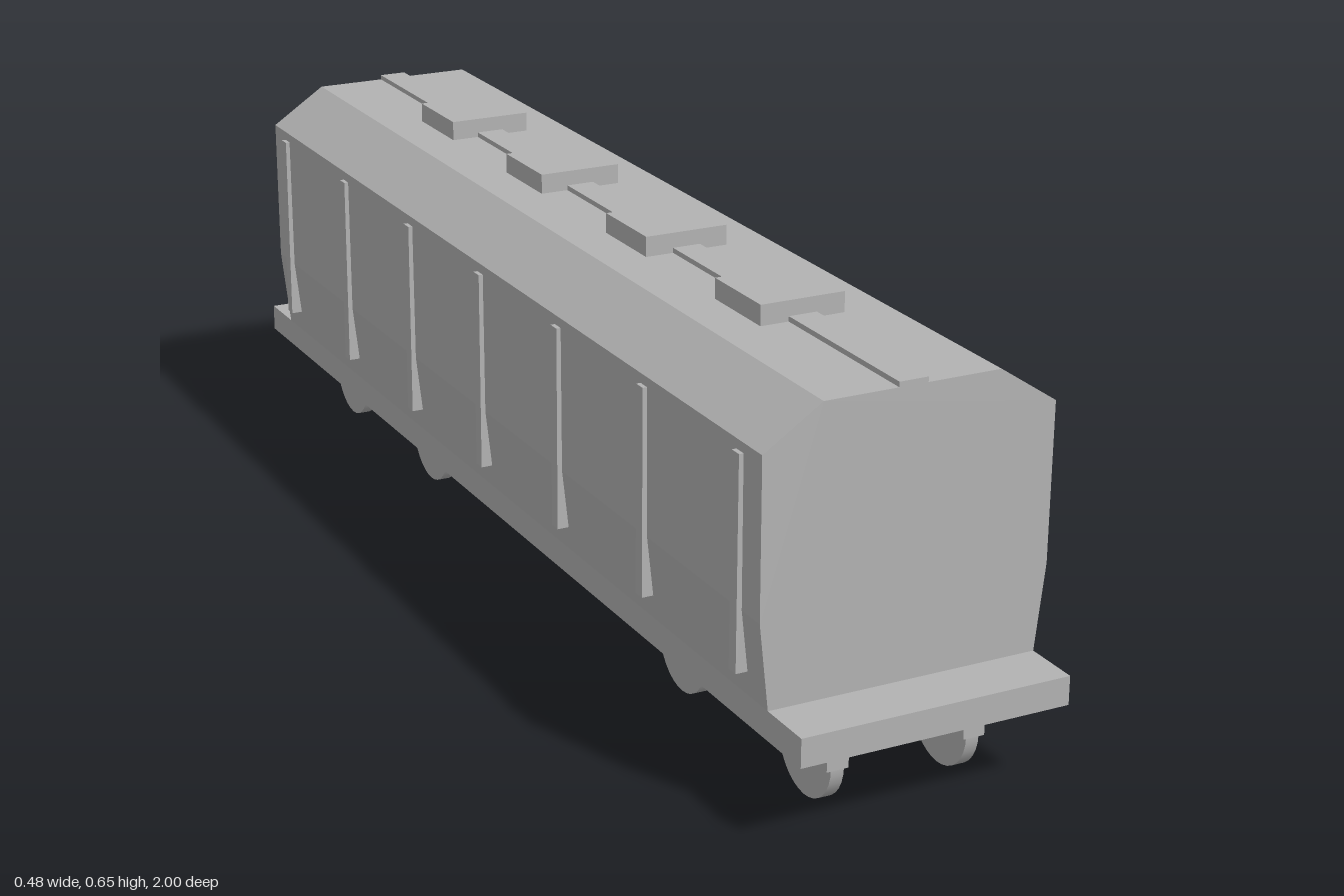
import * as THREE from 'three';

export function createModel() {
  const model = new THREE.Group();
  model.name = 'hopperWagon';
  const grey = new THREE.MeshStandardMaterial({ color: 0xb3b3b3 });
  grey.name = 'grey';

  const add = (name, geometry, parent = model) => {
    const mesh = new THREE.Mesh(geometry, grey);
    mesh.name = name;
    parent.add(mesh);
    return mesh;
  };
  // Box given by its minimum and maximum on each axis
  const box = (name, x0, x1, y0, y1, z0, z1, parent) => {
    const mesh = add(name, new THREE.BoxGeometry(x1 - x0, y1 - y0, z1 - z0), parent);
    mesh.position.set((x0 + x1) / 2, (y0 + y1) / 2, (z0 + z1) / 2);
    return mesh;
  };

  // Body: constant cross-section with tapered lower sides and sloped roof
  const half = [[0.216, 0.177], [0.231, 0.31], [0.232, 0.555], [0.14, 0.616]];
  const outline = [...half, ...half.map(([x, y]) => [-x, y]).reverse()];
  const profile = new THREE.Shape(outline.map(([x, y]) => new THREE.Vector2(x, y)));
  const bodyLength = 1.816;
  add('body', new THREE.ExtrudeGeometry(profile, { depth: bodyLength, bevelEnabled: false }))
    .position.z = -bodyLength / 2;

  // Underframe deck
  box('deck', -0.216, 0.216, 0.132, 0.177, -1, 1);

  // Roof walkway and hatches
  box('walkway', -0.023, 0.023, 0.61, 0.624, -0.908, 0.908);
  for (const z of [-0.54, -0.185, 0.185, 0.54]) {
    box('hatch', -0.069, 0.069, 0.61, 0.648, z - 0.068, z + 0.068);
  }

  // Vertical ribs on both sides
  for (let i = -3; i <= 3; i++) {
    const z = i * 0.2825;
    for (const side of [-1, 1]) {
      box('rib', -0.0195, 0.0195, 0.216, 0.54, z - 0.01, z + 0.01).position.x = side * 0.2195;
    }
  }

  // Bogies: side frames, wheels and axles
  const radius = 0.073;
  for (const end of [-1, 1]) {
    const bogie = new THREE.Group();
    bogie.name = 'bogie';
    bogie.position.z = end * 0.663;
    model.add(bogie);
    for (const side of [-1, 1]) {
      box('sideFrame', -0.0175, 0.0175, 0.07, 0.132, -0.26, 0.26, bogie).position.x = side * 0.1115;
    }
    for (const z of [-0.185, 0.185]) {
      for (const side of [-1, 1]) {
        const wheel = add('wheel', new THREE.CylinderGeometry(radius, radius, 0.021, 32).rotateZ(Math.PI / 2), bogie);
        wheel.position.set(side * 0.1105, radius, z);
      }
      const axle = add('axle', new THREE.CylinderGeometry(0.01, 0.01, 0.21, 12).rotateZ(Math.PI / 2), bogie);
      axle.position.set(0, 0.076, z);
    }
  }
  return model;
}
